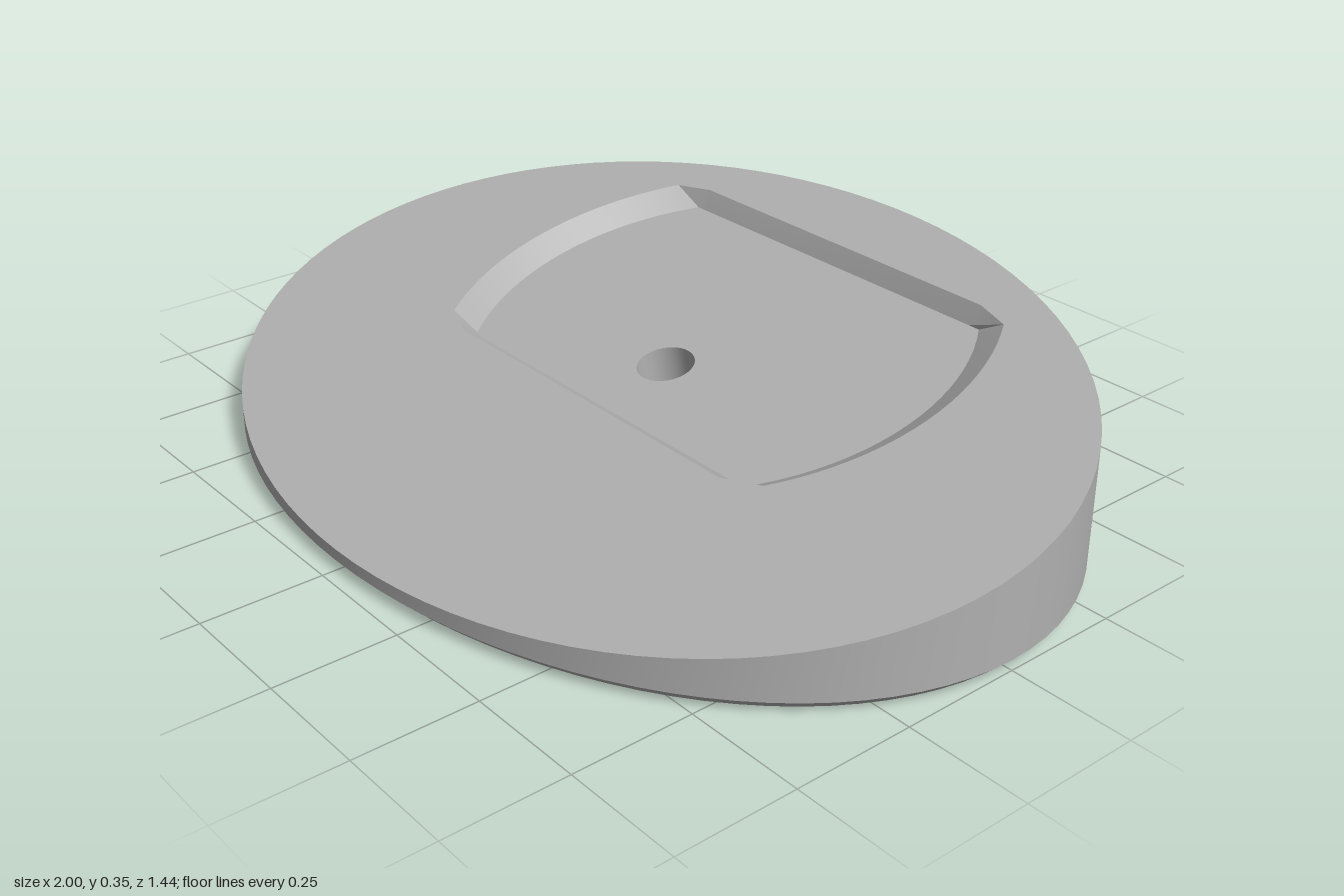
import * as THREE from 'three';
import { mergeGeometries, toCreasedNormals } from 'three/addons/utils/BufferGeometryUtils.js';

const SLOPE = 0.2135, TILT = Math.atan(SLOPE), DEPTH = 0.0375;
const topY = z => 0.2 - SLOPE * z;          // slanted top plane
const floorY = z => topY(z) - DEPTH;        // recessed floor plane
const V = (x, y, z) => new THREE.Vector3(x, y, z);

// Closed ring of points, running from +x towards +z
function ring(n, fn) {
  return Array.from({ length: n }, (_, i) => {
    const t = (i / n) * Math.PI * 2;
    return fn(Math.cos(t), Math.sin(t));
  });
}

// Skin a series of matching rings, with a sharp edge at each ring
function loft(rings) {
  const bands = [];
  for (let k = 0; k < rings.length - 1; k++) {
    const a = rings[k], b = rings[k + 1], n = a.length, index = [];
    for (let i = 0; i < n; i++) {
      const j = (i + 1) % n;
      index.push(i, n + i, j, j, n + i, n + j);
    }
    const g = new THREE.BufferGeometry().setFromPoints([...a, ...b]);
    g.setIndex(index);
    bands.push(toCreasedNormals(g, 0.3));
  }
  return mergeGeometries(bands);
}

// Flat face with a hole, laid on the plane y = height(z)
function face(outline, hole, height, down = false) {
  const flat = pts => pts.map(p => new THREE.Vector2(p.x, -p.z));
  const shape = new THREE.Shape(flat(outline));
  shape.holes.push(new THREE.Path(flat(hole)));
  const g = new THREE.ShapeGeometry(shape);
  const p = g.attributes.position;
  for (let i = 0; i < p.count; i++) {
    const z = -p.getY(i);
    p.setXYZ(i, p.getX(i), height(z), z);
  }
  if (down) g.setIndex(Array.from(g.index.array).reverse());
  g.computeVertexNormals();
  return g;
}

// Recess outline: bowed sides, straight front and back, cut corners
function recessRing(r, zMid, half, cornerX, zBack, zFront, height) {
  const a = Math.asin(half / r), steps = 20, right = [];
  right.push([cornerX, zBack]);
  for (let i = 0; i <= steps; i++) {
    const t = -a + (2 * a * i) / steps;
    right.push([0.03 + r * Math.cos(t), zMid + r * Math.sin(t)]);
  }
  right.push([cornerX, zFront]);
  const left = right.map(([x, z]) => [-x, z]).reverse();
  return [...right, ...left].map(([x, z]) => V(x, height(z), z));
}

export function createModel() {
  const group = new THREE.Group();
  const grey = new THREE.MeshStandardMaterial({ color: 0xb0b0b0 });
  grey.name = 'plain grey';
  const add = (name, geometry) => {
    const mesh = new THREE.Mesh(geometry, grey);
    mesh.name = name;
    group.add(mesh);
  };

  // Oval wedge body with a chamfered foot
  const oval = (inset, height) => ring(96, (c, s) => {
    const z = s * (0.721 - inset);
    return V(c * (1 - inset), height(z), z);
  });
  const foot = oval(0.022, () => 0), rim = oval(0, topY);
  add('sideWall', loft([foot, oval(0, () => 0.022), rim]));

  // Recess in the slanted top
  const lip = recessRing(0.56, -0.204, 0.316, 0.41, -0.545, 0.145, topY);
  const floor = recessRing(0.505, -0.2125, 0.3125, 0.40, -0.525, 0.102, floorY);
  add('topFace', face(rim, lip, topY));
  add('recessWall', loft([lip, floor]));

  // Stepped screw hole, square to the slanted top
  const axis = V(0, Math.cos(TILT), Math.sin(TILT));
  const across = V(0, -Math.sin(TILT), Math.cos(TILT));
  const centre = V(0, floorY(-0.07), -0.07);
  const bore = (r, drop) => ring(40, (c, s) =>
    centre.clone().addScaledVector(axis, -drop).addScaledVector(across, r * s).add(V(r * c, 0, 0)));
  const holeTop = bore(0.06, 0);
  const holeBottom = bore(0.12, 0.095).map(p => p.addScaledVector(axis, -p.y / axis.y));
  add('recessFloor', face(floor, holeTop, floorY));
  add('screwHole', loft([holeTop, bore(0.06, 0.095), bore(0.12, 0.095), holeBottom]));
  add('underside', face(foot, holeBottom, () => 0, true));

  return group;
}
